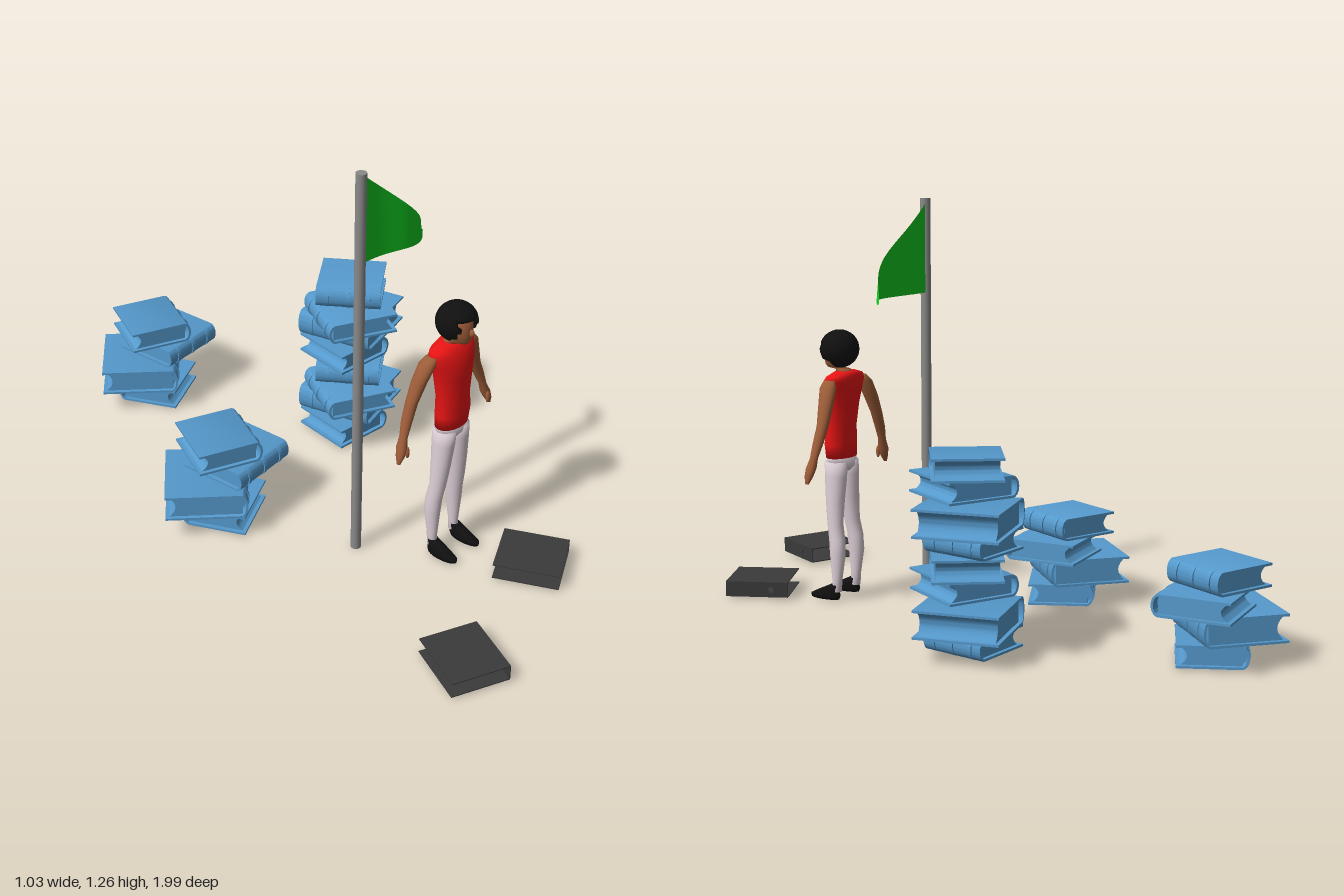
import * as THREE from 'three';
import { toCreasedNormals } from 'three/addons/utils/BufferGeometryUtils.js';

const mat = (color, side = THREE.FrontSide) => new THREE.MeshStandardMaterial({ color, side });
const BLUE = mat(0x5599cc), BLACK = mat(0x3a3a3a), METAL = mat(0x8a8a8a);
const GREEN = mat(0x10c820, THREE.DoubleSide);
const SKIN = mat(0x9c5c38), RED = mat(0xe81414), WHITE = mat(0xdccfd6), HAIR = mat(0x101010);

function add(parent, name, geometry, material) {
  const mesh = new THREE.Mesh(geometry, material);
  mesh.name = name;
  parent.add(mesh);
  return mesh;
}

// Extrude a shape along z, centred on z = 0
function slab(shape, depth) {
  const geo = new THREE.ExtrudeGeometry(shape, { depth, bevelEnabled: false, curveSegments: 10 });
  geo.translate(0, 0, -depth / 2);
  return toCreasedNormals(geo, 0.6);
}

// Closed smooth body through horizontal elliptic rings [x, y, z, rx, rz], bottom to top
function loft(rings, seg = 18) {
  const pos = [], idx = [], n = rings.length;
  for (const [x, y, z, rx, rz] of rings)
    for (let j = 0; j < seg; j++) {
      const a = (j / seg) * Math.PI * 2;
      pos.push(x + rx * Math.cos(a), y, z + rz * Math.sin(a));
    }
  for (const r of [rings[0], rings[n - 1]]) pos.push(r[0], r[1], r[2]);
  for (let j = 0; j < seg; j++) {
    const k = (j + 1) % seg;
    for (let i = 0; i < n - 1; i++) {
      const a = i * seg, b = a + seg;
      idx.push(a + j, b + j, a + k, a + k, b + j, b + k);
    }
    idx.push(n * seg, j, k, n * seg + 1, (n - 1) * seg + k, (n - 1) * seg + j);
  }
  const geo = new THREE.BufferGeometry();
  geo.setAttribute('position', new THREE.Float32BufferAttribute(pos, 3));
  geo.setIndex(idx);
  geo.computeVertexNormals();
  return geo;
}

// Book with its rounded spine facing +x
function book(w, h) {
  const g = new THREE.Group(), t = 0.007, b = 0.022, c = w / 2 - b;
  g.name = 'book';
  const cover = new THREE.Shape();
  cover.moveTo(-w / 2, 0);
  cover.lineTo(c, 0);
  cover.absellipse(c, h / 2, b, h / 2, -Math.PI / 2, Math.PI / 2, false);
  cover.lineTo(-w / 2, h);
  cover.lineTo(-w / 2, h - t);
  cover.lineTo(c, h - t);
  cover.absellipse(c, h / 2, b - t, h / 2 - t, Math.PI / 2, -Math.PI / 2, true);
  cover.lineTo(-w / 2, t);
  cover.closePath();
  add(g, 'cover', slab(cover, w), BLUE);
  // page block with a hollow fore edge
  const pages = new THREE.Shape(), f = -w / 2 + 0.012;
  pages.moveTo(f, t);
  pages.lineTo(c + 0.004, t);
  pages.lineTo(c + 0.004, h - t);
  pages.lineTo(f, h - t);
  pages.quadraticCurveTo(f + 0.04, h / 2, f, t);
  add(g, 'pages', slab(pages, w - 0.024), BLUE);
  // raised spine bands
  const band = new THREE.Shape();
  band.moveTo(c, 0);
  band.absellipse(c, h / 2, b + 0.004, h / 2, -Math.PI / 2, Math.PI / 2, false);
  band.closePath();
  const bandGeo = slab(band, 0.012);
  for (const k of [-0.32, 0, 0.32]) add(g, 'spineBand', bandGeo, BLUE).position.z = k * w;
  return g;
}

// Four turned books: [width, height, base y, x, z, turn in degrees]
const PILE = [
  [0.204, 0.066, 0.006, 0.04, 0.035, 245],
  [0.254, 0.084, 0.073, 0, 0, 45],
  [0.23, 0.065, 0.158, 0.1, 0.035, 86],
  [0.206, 0.069, 0.224, 0.045, 0.015, 24],
];
function bookStack(x, z, turn, piles) {
  const g = new THREE.Group();
  g.name = 'bookStack';
  for (let p = 0; p < piles; p++)
    for (const [w, h, y, bx, bz, deg] of PILE) {
      const b = book(w, h);
      b.position.set(bx, y + p * 0.289, bz);
      b.rotation.y = -THREE.MathUtils.degToRad(deg);
      g.add(b);
    }
  g.position.set(x, 0, z);
  g.rotation.y = -THREE.MathUtils.degToRad(turn);
  return g;
}

// Empty binder: two thin boards and a spine with a finger hole
function binder(x, z, deg) {
  const g = new THREE.Group(), w = 0.182, d = 0.2, h = 0.046, t = 0.003;
  g.name = 'binder';
  for (const y of [0.008, 0.008 + h])
    add(g, 'board', new THREE.BoxGeometry(w, t, d), BLACK).position.y = y;
  const s = new THREE.Shape();
  s.moveTo(-d / 2, 0); s.lineTo(d / 2, 0); s.lineTo(d / 2, h); s.lineTo(-d / 2, h);
  s.closePath();
  const hole = new THREE.Path();
  hole.absarc(0.045, h / 2, 0.01, 0, Math.PI * 2, true);
  s.holes.push(hole);
  const spine = add(g, 'spine', slab(s, t), BLACK);
  spine.rotation.y = Math.PI / 2;
  spine.position.set(w / 2 - t / 2, 0.008, 0);
  g.position.set(x, 0, z);
  g.rotation.y = -THREE.MathUtils.degToRad(deg);
  return g;
}

function flag() {
  const g = new THREE.Group();
  g.name = 'flag';
  add(g, 'pole', new THREE.CylinderGeometry(0.016, 0.016, 1.265, 20), METAL).position.set(-0.152, 0.6325, 0.29);
  // waving pennant
  const geo = new THREE.PlaneGeometry(1, 1, 28, 8), p = geo.attributes.position;
  for (let i = 0; i < p.count; i++) {
    const u = p.getX(i) + 0.5, v = p.getY(i) + 0.5;
    const top = 1.248 - 0.25 * u - 0.036 * u ** 4, low = 0.972 - 0.012 * u * u;
    p.setXYZ(i, -0.132 + 0.29 * u, low + (top - low) * v,
      0.285 + 0.03 * Math.sin(4.2 * u * u - 0.2 + 0.3 * (v - 0.5) * u));
  }
  geo.computeVertexNormals();
  add(g, 'pennant', geo, GREEN);
  return g;
}

function person() {
  const g = new THREE.Group();
  g.name = 'person';
  add(g, 'shirt', loft([
    [0, 0.458, 0.49, 0.062, 0.04], [0, 0.5, 0.492, 0.064, 0.043], [0, 0.56, 0.49, 0.061, 0.042],
    [0, 0.63, 0.487, 0.071, 0.047], [0, 0.675, 0.483, 0.083, 0.049], [0, 0.705, 0.477, 0.093, 0.043],
    [0, 0.72, 0.473, 0.084, 0.037], [0, 0.732, 0.47, 0.04, 0.028]]), RED);
  add(g, 'hips', loft([
    [0, 0.415, 0.487, 0.02, 0.026], [0, 0.43, 0.487, 0.058, 0.036],
    [0, 0.465, 0.49, 0.06, 0.039]]), WHITE);
  add(g, 'head', loft([
    [0, 0.715, 0.472, 0.027, 0.025], [0, 0.738, 0.479, 0.023, 0.024], [0, 0.741, 0.505, 0.018, 0.03],
    [0, 0.752, 0.504, 0.028, 0.038], [0, 0.775, 0.499, 0.036, 0.045], [0, 0.81, 0.495, 0.039, 0.047],
    [0, 0.835, 0.492, 0.03, 0.036]]), SKIN);
  const nose = add(g, 'nose', new THREE.SphereGeometry(1, 10, 8), SKIN);
  nose.scale.set(0.007, 0.012, 0.01);
  nose.position.set(0, 0.779, 0.545);
  // rounded hair, pushed back around the face and tucked in at the nape
  const hair = new THREE.SphereGeometry(1, 36, 24), p = hair.attributes.position;
  for (let i = 0; i < p.count; i++) {
    const x = p.getX(i) * 0.062, y = p.getY(i) * 0.06, z = p.getZ(i) * 0.062;
    const face = z > 0 && Math.abs(x) < 0.039 && y < 0.02;
    p.setXYZ(i, x, y, face ? 0 : y < -0.03 && z > 0 ? z * 0.3 : z);
  }
  hair.computeVertexNormals();
  add(g, 'hair', hair, HAIR).position.set(0, 0.8, 0.492);

  for (const s of [1, -1]) {
    add(g, 'arm', loft([
      [0.215, 0.408, 0.468, 0.004, 0.006], [0.207, 0.43, 0.467, 0.011, 0.014],
      [0.198, 0.455, 0.464, 0.015, 0.017], [0.187, 0.485, 0.461, 0.011, 0.013],
      [0.169, 0.53, 0.457, 0.016, 0.017], [0.147, 0.58, 0.455, 0.018, 0.019],
      [0.122, 0.64, 0.46, 0.022, 0.024], [0.098, 0.69, 0.468, 0.023, 0.027],
      [0.086, 0.711, 0.472, 0.014, 0.018]].map(([x, ...r]) => [s * x, ...r])), SKIN);
    const thumb = add(g, 'thumb', new THREE.SphereGeometry(1, 10, 8), SKIN);
    thumb.scale.set(0.006, 0.02, 0.007);
    thumb.position.set(s * 0.191, 0.442, 0.48);
    add(g, 'leg', loft([
      [0.052, 0.03, 0.478, 0.014, 0.016], [0.052, 0.07, 0.476, 0.014, 0.017],
      [0.052, 0.15, 0.473, 0.022, 0.026], [0.05, 0.2, 0.476, 0.022, 0.027],
      [0.046, 0.25, 0.485, 0.023, 0.026], [0.04, 0.32, 0.488, 0.027, 0.031],
      [0.033, 0.4, 0.489, 0.031, 0.037], [0.031, 0.445, 0.49, 0.03, 0.038]
    ].map(([x, ...r]) => [s * x, ...r])), WHITE);
    add(g, 'shoe', loft([
      [0.055, 0.005, 0.521, 0.02, 0.052], [0.055, 0.016, 0.52, 0.022, 0.055],
      [0.054, 0.032, 0.505, 0.019, 0.038], [0.053, 0.052, 0.482, 0.015, 0.018]
    ].map(([x, ...r]) => [s * x, ...r])), HAIR);
  }
  g.position.x = 0.035;
  return g;
}

export function createModel() {
  const model = new THREE.Group();
  model.name = 'studyScene';
  model.add(
    bookStack(0.01, -0.82, 0, 1), bookStack(-0.335, -0.163, 0, 1), bookStack(0.363, -0.175, 122, 2),
    binder(-0.36, 0.862, 25), binder(0.12, 0.747, -25),
    flag(), person());
  return model;
}
